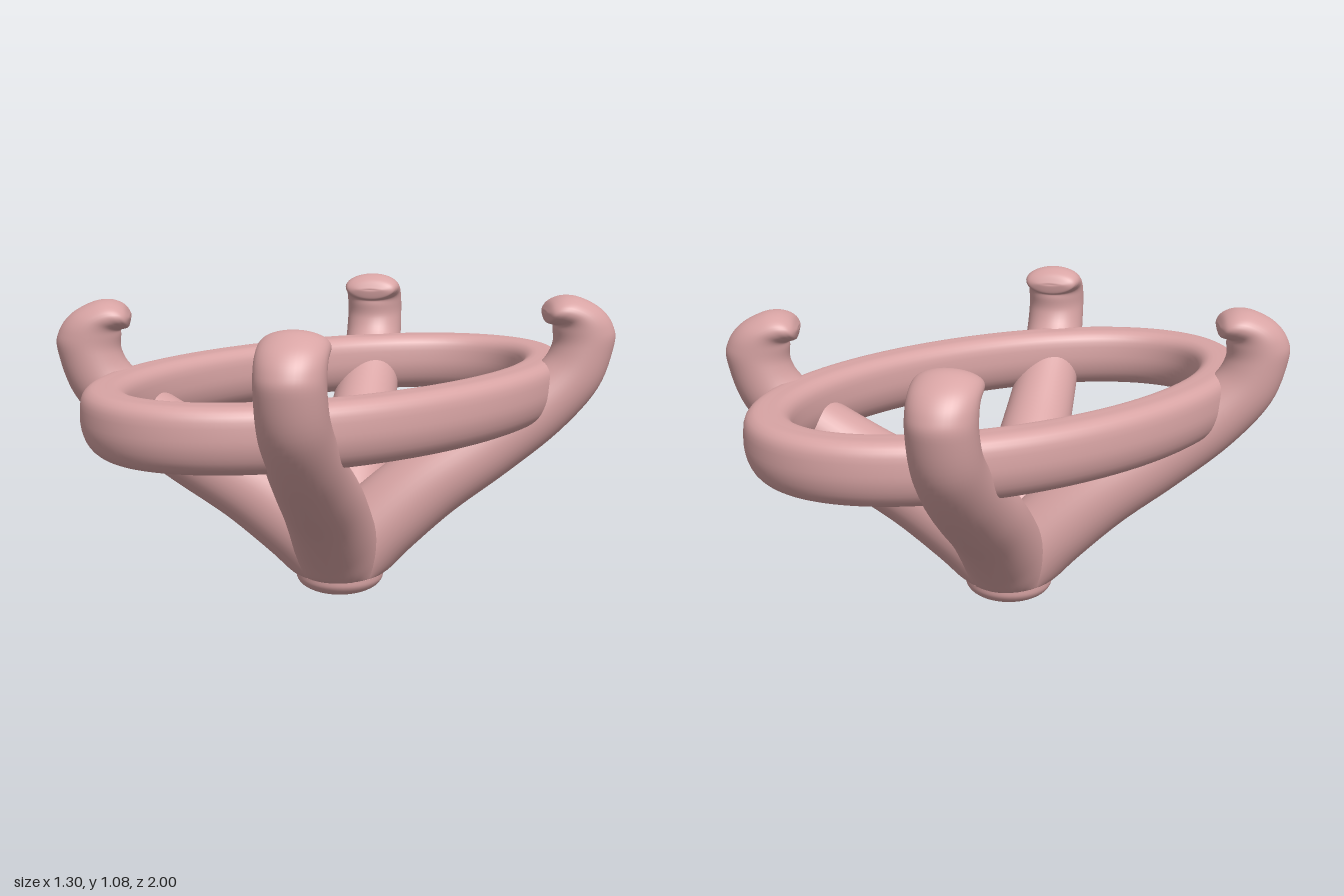
import * as THREE from 'three';

const material = new THREE.MeshStandardMaterial({ color: 0xd8a4a4, side: THREE.DoubleSide });

// Skin a list of closed cross-sections (counter-clockwise about the path direction).
function loft(sections, closed = false) {
  const n = sections[0].length, rows = sections.length, index = [];
  for (let i = 0; i < (closed ? rows : rows - 1); i++) {
    for (let j = 0; j < n; j++) {
      const a = i * n + j, b = i * n + (j + 1) % n;
      const c = ((i + 1) % rows) * n + j, d = ((i + 1) % rows) * n + (j + 1) % n;
      index.push(a, b, d, a, d, c);
    }
  }
  const geometry = new THREE.BufferGeometry().setFromPoints(sections.flat());
  geometry.setIndex(index);
  geometry.computeVertexNormals();
  return geometry;
}

// Prong stations: outer radius and height, inner radius and height, half width.
const stations = [
  [0.155, 0.07, -0.155, 0.07, 0.155],
  [0.186, 0.087, -0.086, 0.233, 0.155],
  [0.26, 0.16, 0.06, 0.38, 0.15],
  [0.415, 0.296, 0.245, 0.524, 0.142],
  [0.607, 0.435, 0.453, 0.645, 0.13],
  [0.795, 0.585, 0.625, 0.755, 0.12],
  [0.932, 0.742, 0.728, 0.837, 0.113],
  [0.986, 0.9, 0.766, 0.9, 0.11],
  [0.98, 0.97, 0.766, 0.955, 0.11],
  [0.935, 1.03, 0.766, 0.972, 0.11],
  [0.86, 1.07, 0.757, 0.975, 0.11],
  [0.8, 1.077, 0.745, 0.978, 0.105],
  [0.755, 1.06, 0.737, 0.985, 0.09],
  [0.734, 1.03, 0.731, 1.01, 0.05],
  [0.732, 1.02, 0.732, 1.02, 0],
];

function prongGeometry() {
  const spline = (points) => new THREE.CatmullRomCurve3(points, false, 'catmullrom', 0.5);
  const outer = spline(stations.map((s) => new THREE.Vector3(s[0], s[1], s[4])));
  const inner = spline(stations.map((s) => new THREE.Vector3(s[2], s[3], s[4])));
  const steps = (stations.length - 1) * 6, sides = 40, sections = [];
  for (let i = 0; i <= steps; i++) {
    const o = outer.getPoint(i / steps), p = inner.getPoint(i / steps);
    const section = [];
    for (let j = 0; j < sides; j++) {
      const a = (j / sides) * Math.PI * 2, k = (1 + Math.cos(a)) / 2;
      section.push(new THREE.Vector3(
        p.x + (o.x - p.x) * k, p.y + (o.y - p.y) * k, -Math.max(o.z, 0) * Math.sin(a)));
    }
    sections.push(section);
  }
  return loft(sections);
}

// Oval band with a soft section that is rounder underneath.
function bandGeometry() {
  const half = [[0.08, 0.03], [0.072, 0.082], [0.045, 0.107]];
  const low = [[0.03, -0.1], [0.06, -0.07], [0.078, -0.02]];
  const flip = (list) => list.map(([u, v]) => [-u, v]).reverse();
  const outline = [...half, [0, 0.11], ...flip(half), ...flip(low), [0, -0.11], ...low];
  const profile = new THREE.CatmullRomCurve3(
    outline.map(([u, v]) => new THREE.Vector3(u, v, 0)), true).getPoints(40).slice(0, -1);
  const sections = [], steps = 128, rx = 0.54, rz = 0.92;
  for (let i = 0; i < steps; i++) {
    const t = (i / steps) * Math.PI * 2, c = Math.cos(t), s = Math.sin(t);
    const normal = new THREE.Vector3(c / rx, 0, s / rz).normalize();
    sections.push(profile.map((p) => new THREE.Vector3(
      rx * c + normal.x * p.x, 0.73 + p.y, rz * s + normal.z * p.x)));
  }
  return loft(sections, true);
}

export function createModel() {
  const model = new THREE.Group();
  model.name = 'ovalProngSetting';
  const add = (name, geometry) => {
    const mesh = new THREE.Mesh(geometry, material);
    mesh.name = name;
    model.add(mesh);
    return mesh;
  };

  add('ovalBand', bandGeometry());

  // Four curved prongs meeting at the base
  const prong = prongGeometry();
  const angle = Math.atan2(0.787, 0.616);
  const turns = {
    frontLeftProng: angle, frontRightProng: Math.PI - angle,
    backRightProng: Math.PI + angle, backLeftProng: -angle,
  };
  for (const [name, turn] of Object.entries(turns)) add(name, prong).rotation.y = -turn;

  // Rounded foot under the prongs
  const foot = [[0, 0], [0.06, 0.002], [0.105, 0.012], [0.14, 0.03], [0.157, 0.052], [0.16, 0.075]];
  const curve = new THREE.SplineCurve(foot.map(([x, y]) => new THREE.Vector2(x, y)));
  const points = curve.getPoints(24);
  points[0].x = 0;
  add('foot', new THREE.LatheGeometry(points, 48));
  const top = add('footTop', new THREE.CircleGeometry(0.16, 48));
  top.rotation.x = -Math.PI / 2;
  top.position.y = 0.075;

  return model;
}
